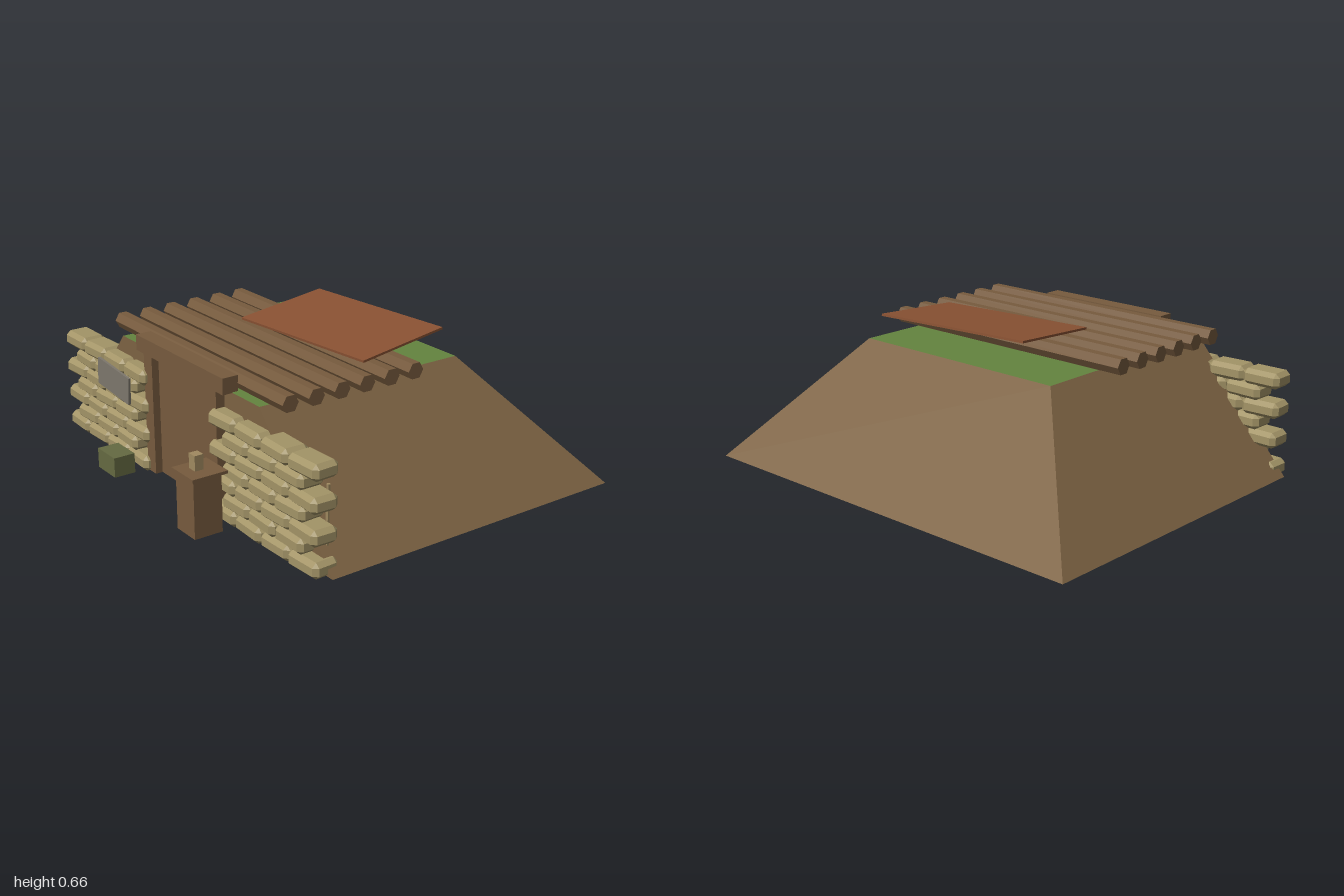
import * as THREE from 'three';
import { ConvexGeometry } from 'three/addons/geometries/ConvexGeometry.js';

const mat = (name, color) => {
  const m = new THREE.MeshStandardMaterial({ color, flatShading: true });
  m.name = name;
  return m;
};

export function createModel() {
  const earth = mat('earth', 0x7d6343);
  const grass = mat('grass', 0x64843f);
  const wood = mat('wood', 0x775b3e);
  const sack = mat('sackcloth', 0xa39467);
  const rust = mat('rust', 0x8a5233);
  const steel = mat('steel', 0x7d776c);
  const olive = mat('olive', 0x656a42);
  const pale = mat('paleWood', 0xa08a60);

  const model = new THREE.Group();
  model.name = 'dugout';

  const add = (name, geometry, material, x, y, z) => {
    const mesh = new THREE.Mesh(geometry, material);
    mesh.name = name;
    mesh.position.set(x, y, z);
    model.add(mesh);
    return mesh;
  };
  // Box given by its minimum and maximum on each axis
  const box = (name, material, x0, x1, y0, y1, z0, z1) =>
    add(name, new THREE.BoxGeometry(x1 - x0, y1 - y0, z1 - z0), material,
      (x0 + x1) / 2, (y0 + y1) / 2, (z0 + z1) / 2);

  // Earth mound: box tapered at the sides and back, grass on top
  const mound = new THREE.BoxGeometry(2, 1, 1);
  const p = mound.attributes.position;
  for (let i = 0; i < p.count; i++) {
    const top = p.getY(i) > 0;
    p.setXYZ(i, Math.sign(p.getX(i)) * (top ? 0.53 : 1), top ? 0.55 : 0.01,
      p.getZ(i) > 0 ? 0.605 : top ? -0.395 : -0.86);
  }
  mound.computeVertexNormals();
  add('mound', mound, [earth, earth, grass, earth, earth, earth], 0, 0, 0);

  // Roof logs
  const log = new THREE.CylinderGeometry(0.038, 0.038, 1.29, 6);
  log.rotateY(Math.PI / 6);
  log.rotateZ(Math.PI / 2);
  log.computeBoundingBox();
  // Turn the hexagon so that a flat side lies on the mound
  if (log.boundingBox.max.y > 0.036) log.rotateX(Math.PI / 6);
  for (let i = 0; i < 6; i++) add('roofLog', log, wood, 0, 0.584, 0.54 - i * 0.124);

  // Loose rusty roof sheet
  const sheet = add('roofSheet', new THREE.BoxGeometry(0.765, 0.01, 0.465), rust, 0.115, 0.642, -0.1);
  sheet.rotation.set(0.085, 0.105, 0, 'YXZ');

  // Doorway
  box('door', wood, -0.22, 0.22, 0.01, 0.547, 0.6, 0.612);
  for (const s of [-1, 1]) {
    add('doorPost', new THREE.BoxGeometry(0.065, 0.54, 0.07), wood, s * 0.25, 0.28, 0.61);
  }
  box('lintel', wood, -0.338, 0.338, 0.547, 0.617, 0.575, 0.648);

  // Sandbag: box with chamfered edges and corners
  const points = [];
  const [hx, hy, hz] = [0.09, 0.035, 0.061];
  for (const sx of [-1, 1]) for (const sy of [-1, 1]) for (const sz of [-1, 1]) {
    points.push(
      new THREE.Vector3(sx * hx, sy * (hy - 0.018), sz * (hz - 0.02)),
      new THREE.Vector3(sx * (hx - 0.02), sy * hy, sz * (hz - 0.02)),
      new THREE.Vector3(sx * (hx - 0.02), sy * (hy - 0.018), sz * hz));
  }
  const bag = new ConvexGeometry(points);
  for (const s of [-1, 1]) {
    for (let row = 0; row < 7; row++) {
      const odd = row % 2;
      for (let i = 0; i < 4 - odd; i++) {
        const x = s * (0.882 - odd * 0.088 - i * 0.178) + (s > 0 ? -0.003 * i : 0);
        const b = add('sandbag', bag, sack, x, 0.04 + row * 0.0662, 0.61);
        b.rotation.y = 0.05 * Math.sin(row * 2.3 + i * 1.7 + s);
      }
    }
  }

  // Thin pole leaning behind the sandbags
  const pole = add('pole', new THREE.CylinderGeometry(0.008, 0.008, 0.34, 6), pale, 0.912, 0.19, 0.565);
  pole.rotation.z = -0.03;

  // Metal plate propped against the sandbags
  const plate = add('metalPlate', new THREE.BoxGeometry(0.27, 0.123, 0.012), steel, -0.475, 0.375, 0.69);
  plate.rotation.z = -0.085;

  // Crate, pedestal and candle in front
  box('crate', olive, -0.43, -0.285, 0.01, 0.1, 0.71, 0.81);
  box('pedestal', wood, 0.292, 0.422, 0.01, 0.262, 0.715, 0.845);
  box('pedestalTop', wood, 0.28, 0.437, 0.262, 0.275, 0.695, 0.857);
  box('candle', pale, 0.328, 0.372, 0.275, 0.34, 0.765, 0.805);

  return model;
}
